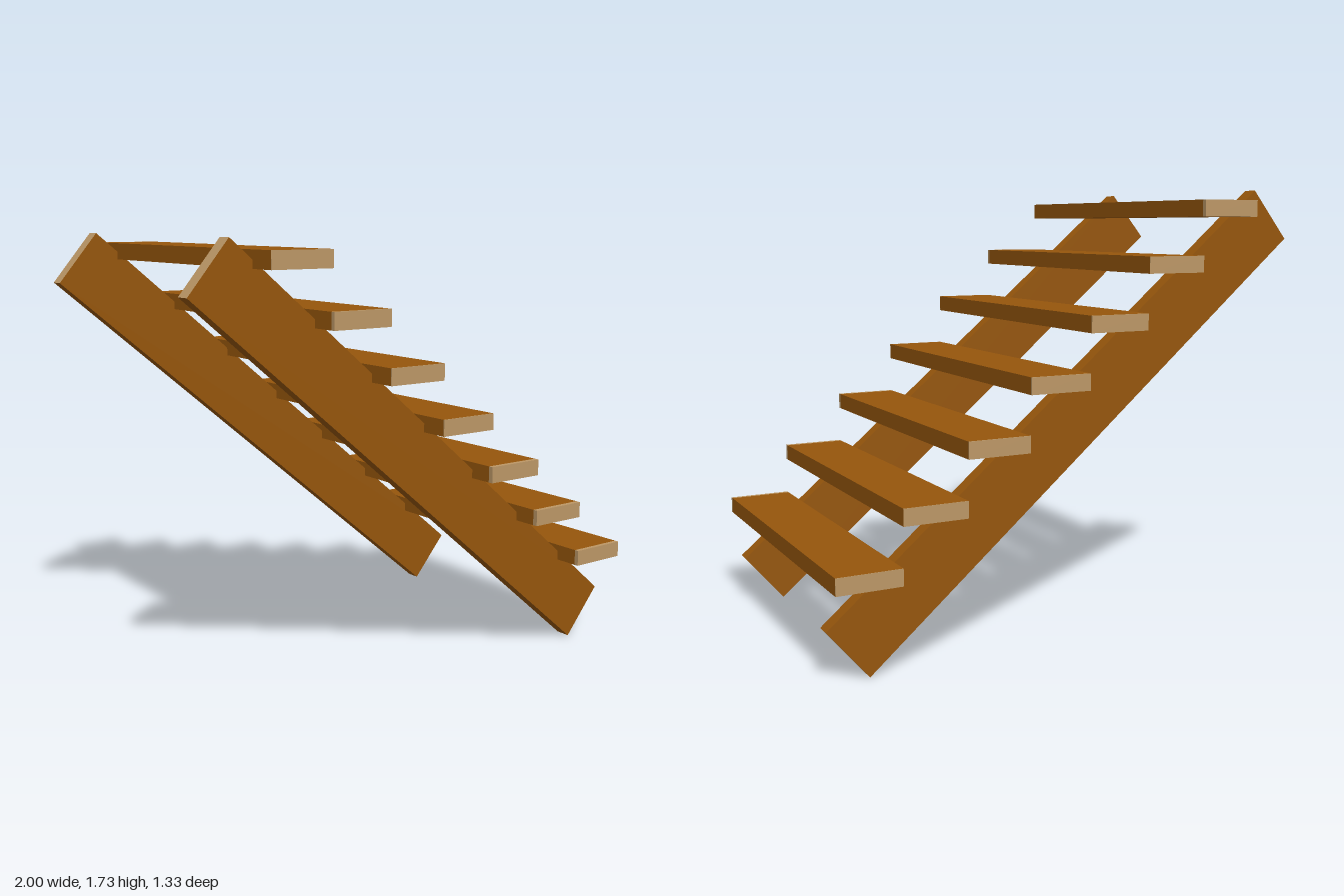
import * as THREE from 'three';

export function createModel() {
  const group = new THREE.Group();
  group.name = 'openStaircase';

  const wood = new THREE.MeshStandardMaterial({ color: 0x96560c });
  wood.name = 'brown wood';
  const endGrain = new THREE.MeshStandardMaterial({ color: 0xbc9766 });
  endGrain.name = 'pale end grain';

  const addBox = (name, size, position, materials) => {
    const mesh = new THREE.Mesh(new THREE.BoxGeometry(...size), materials);
    mesh.name = name;
    mesh.position.set(...position);
    group.add(mesh);
    return mesh;
  };

  // Two sloping side beams with pale sawn ends
  const beamMaterials = [endGrain, endGrain, wood, wood, wood, wood];
  for (const [name, z] of [['frontStringer', 0.52], ['backStringer', -0.51]]) {
    const beam = addBox(name, [2.39, 0.25, 0.06], [-0.005, 0.866, z], beamMaterials);
    beam.rotation.z = -0.698;
  }

  // Treads: brown boards whose pale ends wrap slightly onto the faces
  const halfDepth = 0.665;
  const frontCaps = [0.002, 0.016, 0.004, 0.004, 0.02, 0.02, 0.018];
  const backCaps = [0.018, 0.002, 0.006, 0.006, 0.006, 0.002, 0.002];
  for (let i = 0; i < 7; i++) {
    const x = -0.628 + i * 0.25;
    const y = 1.657 - i * 0.2108;
    const front = halfDepth - frontCaps[i];
    const back = -halfDepth + backCaps[i];
    addBox(`tread${i + 1}`, [0.248, 0.064, front - back], [x, y, (front + back) / 2], wood);
    addBox(`treadFrontEnd${i + 1}`, [0.248, 0.064, frontCaps[i]],
      [x, y, halfDepth - frontCaps[i] / 2], endGrain);
    addBox(`treadBackEnd${i + 1}`, [0.248, 0.064, backCaps[i]],
      [x, y, -halfDepth + backCaps[i] / 2], endGrain);
  }

  return group;
}
